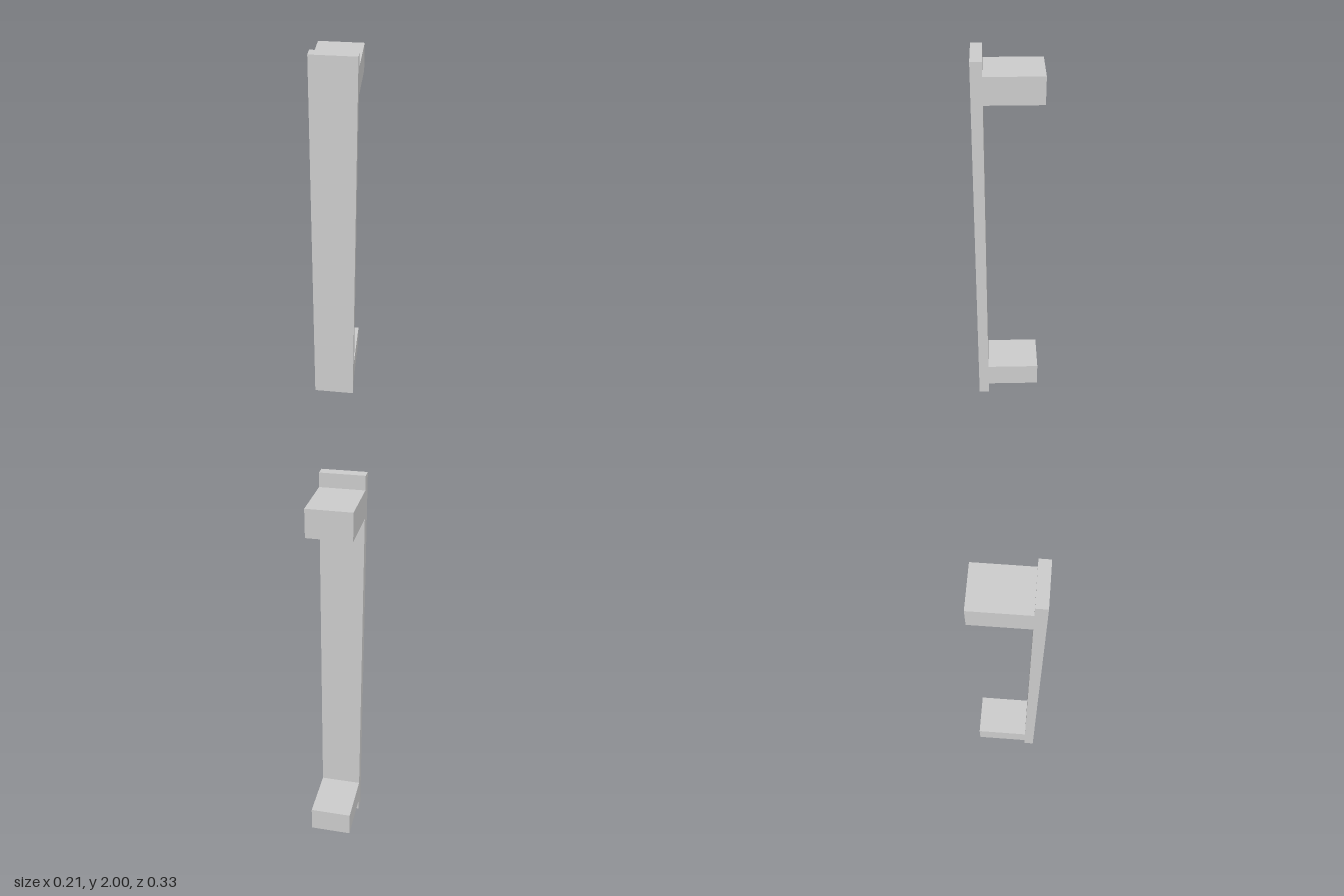
import * as THREE from 'three';

const WIDTH = 0.213, HEIGHT = 2;
const FRONT = 0.163, PLATE_BACK = 0.11, BACK = -0.163;
const LEG_LOW = 0.067, LEG_HIGH = 0.2;

export function createModel() {
  const group = new THREE.Group();
  group.name = 'pullHandle';

  // Side profile (z, y): flat grip plate with two standoffs reaching back
  const profile = new THREE.Shape([
    [FRONT, 0],
    [FRONT, HEIGHT],
    [PLATE_BACK, HEIGHT],
    [PLATE_BACK, HEIGHT - LEG_LOW],
    [BACK, HEIGHT - LEG_LOW],
    [BACK, HEIGHT - LEG_HIGH],
    [PLATE_BACK, HEIGHT - LEG_HIGH],
    [PLATE_BACK, LEG_HIGH],
    [BACK, LEG_HIGH],
    [BACK, LEG_LOW],
    [PLATE_BACK, LEG_LOW],
    [PLATE_BACK, 0],
  ].map(([z, y]) => new THREE.Vector2(z, y)));

  // Extrude across the width, then turn the profile's x axis onto z
  const geometry = new THREE.ExtrudeGeometry(profile, { depth: WIDTH, bevelEnabled: false });
  geometry.translate(0, 0, -WIDTH / 2).rotateY(-Math.PI / 2);

  const handle = new THREE.Mesh(
    geometry,
    new THREE.MeshStandardMaterial({ color: 0xcccccc, flatShading: true })
  );
  handle.name = 'gripAndStandoffs';
  group.add(handle);
  return group;
}
